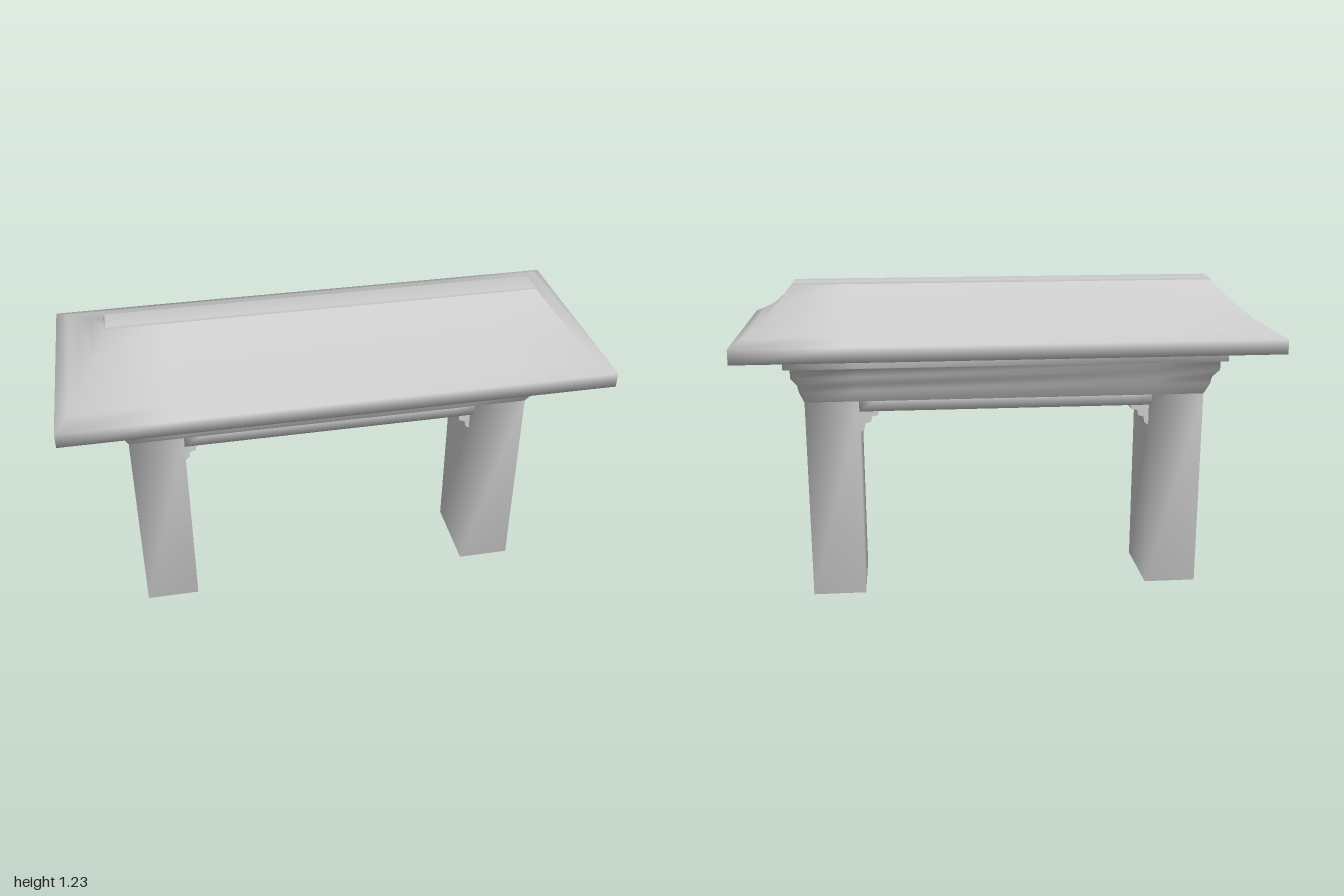
import * as THREE from 'three';

const material = new THREE.MeshStandardMaterial({ color: 0xcccccc, side: THREE.DoubleSide });

// Counter-clockwise rectangle (seen from above), with optional extra points
// at x = +-inner so that smooth shading stays local to the ends.
function ring([hx, hz, y], inner) {
  const pts = [[hx, y, hz], [hx, y, -hz]];
  if (inner) pts.push([inner, y, -hz], [-inner, y, -hz]);
  pts.push([-hx, y, -hz], [-hx, y, hz]);
  if (inner) pts.push([-inner, y, hz], [inner, y, hz]);
  return pts;
}

// Smooth skin over rectangular sections [halfX, halfZ, y], listed along the skin.
function loft(name, sections, { inner = 0, capStart = false, capEnd = false } = {}) {
  const rings = sections.map((s) => ring(s, inner));
  const n = rings[0].length;
  const index = [];
  for (let i = 0; i < rings.length - 1; i++) {
    for (let j = 0; j < n; j++) {
      const a = i * n + j, b = i * n + (j + 1) % n;
      index.push(a, b, b + n, a, b + n, a + n);
    }
  }
  const last = (rings.length - 1) * n;
  // Caps are strips across the long axis
  const strips = n === 8 ? [[0, 1, 2, 7], [7, 2, 3, 6], [6, 3, 4, 5]] : [[0, 1, 2, 3]];
  for (const [a, b, c, d] of strips) {
    if (capStart) index.push(a, c, b, a, d, c);
    if (capEnd) index.push(last + a, last + b, last + c, last + a, last + c, last + d);
  }
  const geo = new THREE.BufferGeometry();
  geo.setAttribute('position', new THREE.Float32BufferAttribute(rings.flat(2), 3));
  geo.setIndex(index);
  geo.computeVertexNormals();
  const mesh = new THREE.Mesh(geo, material);
  mesh.name = name;
  return mesh;
}

// Stepped bracket in the corner between leg and beam
function makeBracket() {
  const shape = new THREE.Shape();
  const steps = [
    [0, 0.65], [0.016, 0.663], [0.02, 0.685], [0.042, 0.692], [0.046, 0.712],
    [0.068, 0.717], [0.074, 0.733], [0.1, 0.738], [0.104, 0.75],
  ];
  shape.moveTo(0.58, 0.75);
  shape.lineTo(0.58, 0.65);
  for (const [d, y] of steps) shape.lineTo(0.565 - d, y);
  shape.closePath();
  const geo = new THREE.ExtrudeGeometry(shape, { depth: 0.22, bevelEnabled: false });
  geo.translate(0, 0, -0.11);
  const mesh = new THREE.Mesh(geo, material);
  mesh.name = 'bracket';
  return mesh;
}

export function createModel() {
  const model = new THREE.Group();
  model.name = 'roofedGate';

  // Legs with brackets, one on each side; hollow and open at the foot
  for (const side of ['left', 'right']) {
    const support = new THREE.Group();
    support.name = side + 'Support';
    const leg = loft('leg', [[0.102, 0.155, 0], [0.102, 0.155, 0.785]]);
    leg.position.x = 0.667;
    support.add(leg, makeBracket());
    if (side === 'right') support.rotation.y = Math.PI;
    model.add(support);
  }

  // Underside of the beam between the legs
  model.add(loft('beamSoffit', [[0.565, 0.155, 0.745], [0.565, 0.155, 0.785]],
    { inner: 0.5, capStart: true }));

  // Stepped cornice widening up to the roof
  model.add(loft('cornice', [
    [0.769, 0.155, 0.785], [0.785, 0.185, 0.832], [0.79, 0.187, 0.858],
    [0.811, 0.22, 0.893], [0.811, 0.22, 0.924], [0.834, 0.25, 0.932], [0.834, 0.25, 0.992],
  ], { inner: 0.565 }));

  // Flared hipped roof: underside, fascia and concave slopes
  model.add(loft('roof', [
    [0.7, 0.12, 0.99], [1, 0.42, 0.99], [1, 0.42, 1.045], [0.955, 0.355, 1.07],
    [0.905, 0.275, 1.102], [0.855, 0.155, 1.152], [0.805, 0.046, 1.215],
  ], { inner: 0.6, capStart: true }));

  // Narrow flat ridge
  model.add(loft('ridge', [[0.805, 0.046, 1.215], [0.8, 0.045, 1.225]], { capEnd: true }));

  return model;
}
